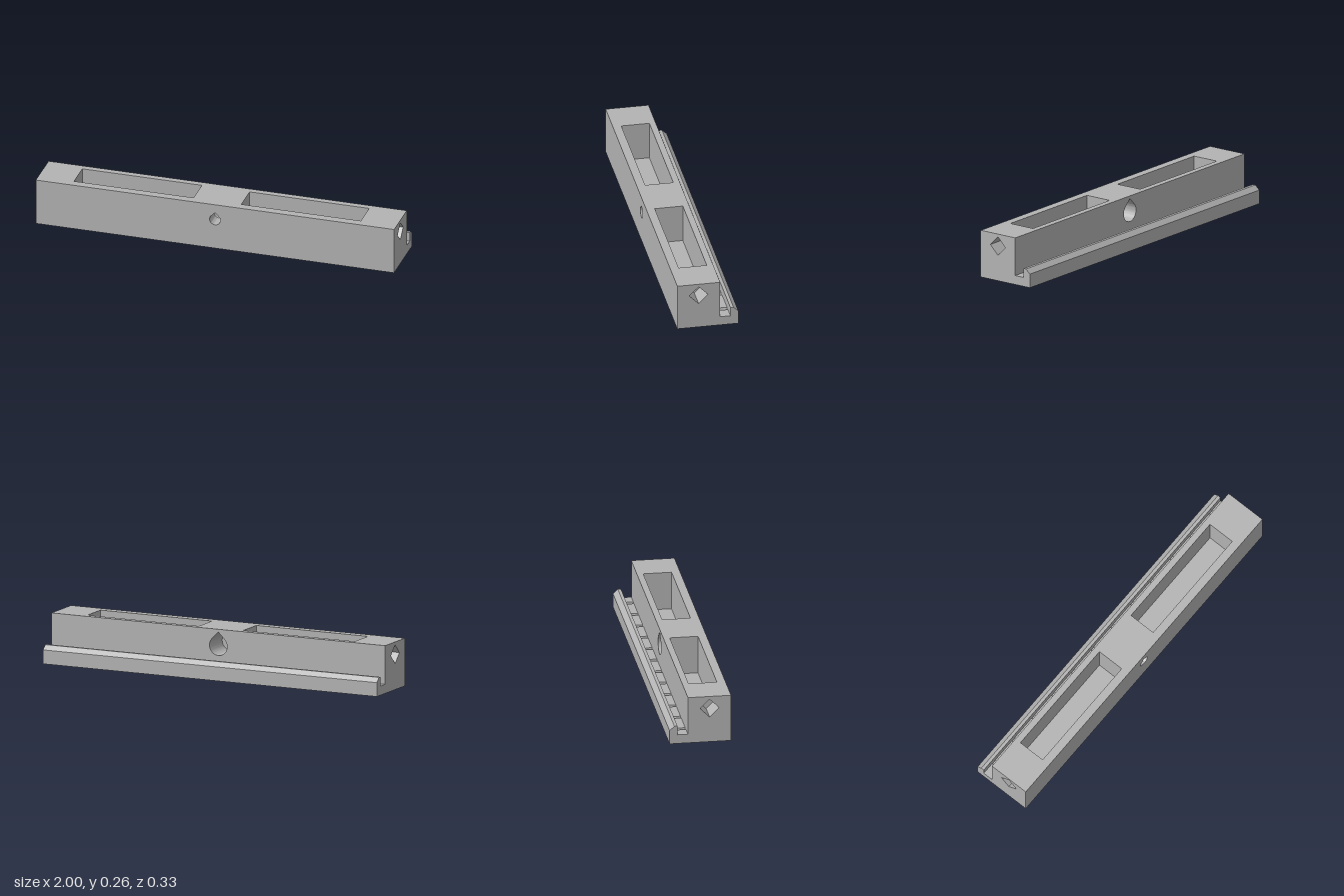
import * as THREE from 'three';
import { mergeGeometries, toCreasedNormals } from 'three/addons/utils/BufferGeometryUtils.js';

const FRONT = 0.166, BACK = -0.067, LIP = -0.123, REAR = -0.166, TOP = 0.26, CHANNEL = 0.05;

const rect = (x0, y0, x1, y1) => [[x0, y0], [x1, y0], [x1, y1], [x0, y1]];

// round hole with a 45 degree pointed roof, counter-clockwise
function teardrop(cy, r) {
  const pts = [[0, cy + r * Math.SQRT2]];
  for (let i = 0; i <= 36; i++) {
    const a = Math.PI * (0.75 + 1.5 * i / 36);
    pts.push([r * Math.cos(a), cy + r * Math.sin(a)]);
  }
  return pts;
}

const toPath = (pts, Type = THREE.Shape) => new Type(pts.map(p => new THREE.Vector2(...p)));

// flat face looking along +z, with holes
function face(outline, holes = [], z = 0) {
  const shape = toPath(outline);
  shape.holes = holes.map(h => toPath(h, THREE.Path));
  const g = new THREE.ShapeGeometry(shape).toNonIndexed().translate(0, 0, z);
  g.deleteAttribute('uv');
  return g;
}

// wall swept from z to z - depth, facing the left of the line
function sweep(pts, depth, closed = false, z = 0) {
  const pos = [];
  const n = closed ? pts.length : pts.length - 1;
  for (let i = 0; i < n; i++) {
    const a = pts[i], b = pts[(i + 1) % pts.length], e = z - depth;
    pos.push(...a, z, ...b, z, ...b, e, ...a, z, ...b, e, ...a, e);
  }
  const g = new THREE.BufferGeometry();
  g.setAttribute('position', new THREE.Float32BufferAttribute(pos, 3));
  g.computeVertexNormals();
  return toCreasedNormals(g, 0.5);
}

// recess = { pts, depth, inner }: walls plus a floor that may hold a further through hole
function recess({ pts, depth, inner }) {
  const parts = [sweep(pts, depth, true), face(pts, inner ? [inner.pts] : [], -depth)];
  if (inner) parts.push(sweep(inner.pts, inner.depth, true, -depth));
  return mergeGeometries(parts);
}

export function createModel() {
  const model = new THREE.Group();
  const grey = new THREE.MeshStandardMaterial({ color: 0xb3b3b3 });
  grey.name = 'grey plastic';

  const add = (name, geometry, position = [0, 0, 0], rotation = [0, 0, 0]) => {
    const mesh = new THREE.Mesh(geometry, grey);
    mesh.name = name;
    mesh.position.set(...position);
    mesh.rotation.set(...rotation);
    model.add(mesh);
  };

  // top with two long pockets
  const pockets = [-0.467, 0.467].map(x => ({ pts: rect(x - 0.334, -0.12, x + 0.334, 0.033), depth: 0.21 }));
  const up = [-Math.PI / 2, 0, 0];
  add('topFace', face(rect(-1, -FRONT, 1, -BACK), pockets.map(p => p.pts)), [0, TOP, 0], up);
  pockets.forEach(p => add('pocket', recess(p), [0, TOP, 0], up));

  // front and back, joined by a stepped teardrop bore
  const bore = {
    pts: teardrop(0.17, 0.053), depth: 0.15,
    inner: { pts: teardrop(0.17, 0.03), depth: FRONT - BACK - 0.15 },
  };
  add('frontFace', face(rect(-1, 0, 1, TOP), [bore.inner.pts]), [0, 0, FRONT]);
  const back = [0, Math.PI, 0];
  add('backFace', face(rect(-1, CHANNEL, 1, TOP), [bore.pts]), [0, 0, BACK], back);
  add('steppedBore', recess(bore), [0, 0, BACK], back);

  // ends with blind diamond sockets; the local x axis runs to the rear on +x, to the front on -x
  const lip = [[-LIP, CHANNEL], [-LIP, 0.1], [0.14, 0.1], [-REAR, 0.076], [-REAR, 0], [-FRONT, 0]];
  const profile = [...lip, [-FRONT, TOP], [-BACK, TOP], [-BACK, CHANNEL]];
  for (const s of [1, -1]) {
    const cx = -0.05 * s, cy = 0.193, r = 0.051;
    const diamond = { pts: [[cx + r, cy], [cx, cy + r], [cx - r, cy], [cx, cy - r]], depth: 0.12 };
    const turn = [0, s * Math.PI / 2, 0];
    add('endFace', face(profile.map(([u, y]) => [u * s, y]), [diamond.pts]), [s, 0, 0], turn);
    add('diamondSocket', recess(diamond), [s, 0, 0], turn);
  }

  // chamfered rear lip and underside
  add('rearLipAndBase', sweep(lip, 2), [1, 0, 0], [0, Math.PI / 2, 0]);

  // channel floor crossed by twelve small half-round grooves
  const floor = [[-1, CHANNEL]];
  for (let i = 0; i < 12; i++) {
    const groove = [];
    for (let k = 0; k <= 6; k++) {
      const a = Math.PI * (1 + k / 6);
      groove.push([(i - 5.5) / 6 + 0.013 * Math.cos(a), CHANNEL + 0.013 * Math.sin(a)]);
    }
    floor.push(...groove);
    add('grooveEnd', face(groove), [0, 0, LIP]);
    add('grooveEnd', face(groove.map(([x, y]) => [-x, y])), [0, 0, BACK], back);
  }
  floor.push([1, CHANNEL]);
  add('channelFloor', sweep(floor, BACK - LIP), [0, 0, BACK]);

  return model;
}
